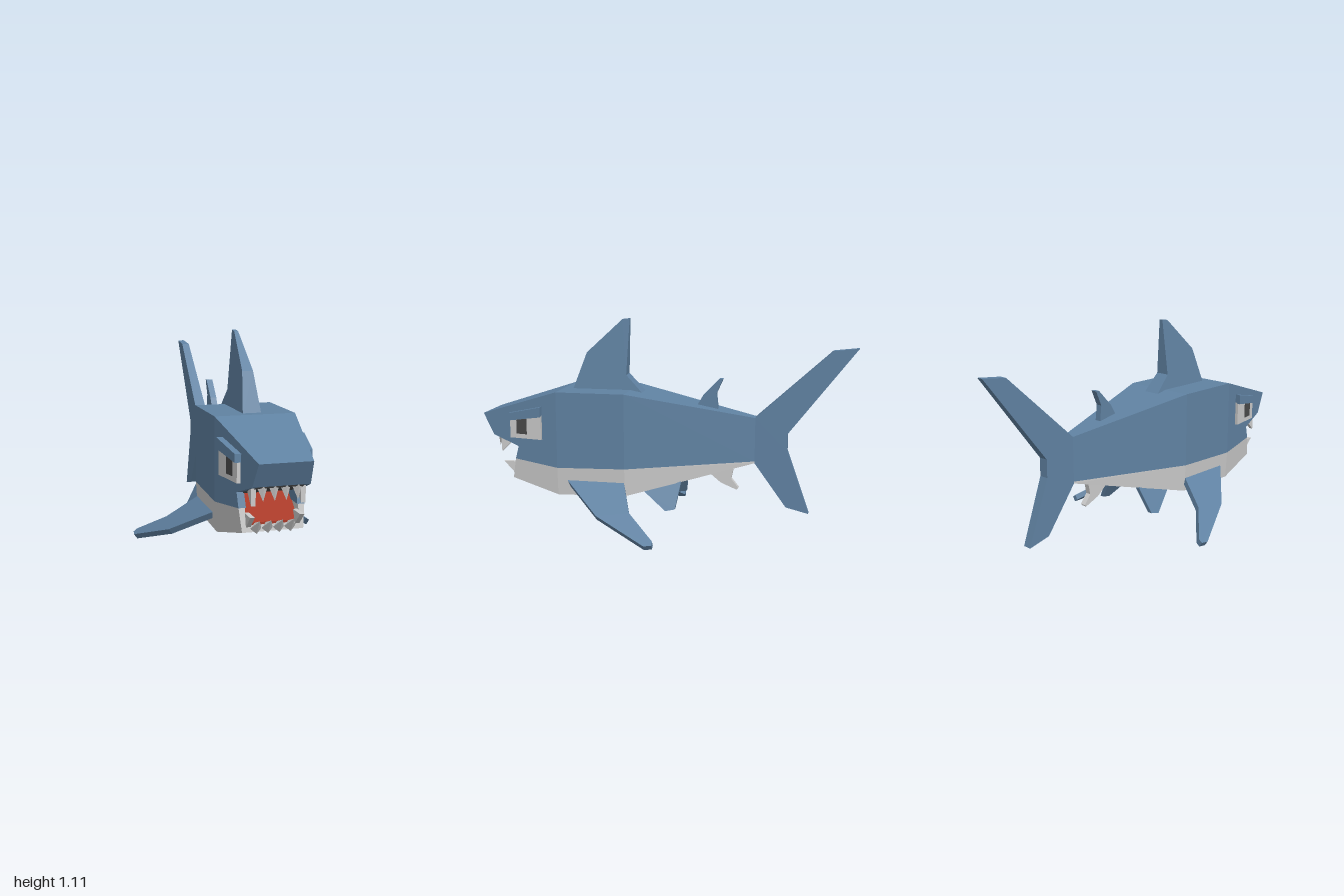
import * as THREE from 'three';

const material = (color) => new THREE.MeshStandardMaterial({ color, flatShading: true });
const blue = material(0x6082a2);
const grey = material(0xcccccc);
const red = material(0xa83a28);
const dark = material(0x4a4a4a);

// Closed solid between two copies of a polygon; a and b map (u, v) to 3D points.
function prism(points, a, b) {
  let contour = points.map(([u, v]) => new THREE.Vector2(u, v));
  if (THREE.ShapeUtils.area(contour) < 0) contour.reverse();
  const n = contour.length;
  const A = contour.map((p) => new THREE.Vector3(...a(p.x, p.y)));
  const B = contour.map((p) => new THREE.Vector3(...b(p.x, p.y)));
  const tris = [];
  for (const [i, j, k] of THREE.ShapeUtils.triangulateShape(contour, [])) {
    tris.push([B[i], B[j], B[k]], [A[k], A[j], A[i]]);
  }
  for (let i = 0; i < n; i++) {
    const j = (i + 1) % n;
    tris.push([A[i], A[j], B[j]], [A[i], B[j], B[i]]);
  }
  // Turn the faces outward whichever way the mapping runs
  const cross = new THREE.Vector3();
  const volume = tris.reduce((sum, [p, q, r]) => sum + p.dot(cross.crossVectors(q, r)), 0);
  if (volume < 0) tris.forEach((t) => t.reverse());
  const geometry = new THREE.BufferGeometry().setFromPoints(tris.flat());
  geometry.computeVertexNormals();
  return geometry;
}

// Solid from a (z, y) side profile, reaching from x = from(z, y) to x = to(z, y)
const slab = (profile, from, to) =>
  prism(profile, (z, y) => [from(z, y), y, z], (z, y) => [to(z, y), y, z]);

// Solid symmetric about x = 0
const centred = (profile, half) =>
  slab(profile, (z, y) => -half(z, y), half);

// Half width of the body along its length, slightly narrower under the belly
function bodyHalf(z, y) {
  let w = 0.2;
  if (z > 0.56) w -= (z - 0.56) * 0.17;
  if (z < 0.19) w -= (0.19 - z) * 0.254;
  return y < 0.3 && z > -0.4 ? w * 0.95 : w;
}

export function createModel() {
  const model = new THREE.Group();
  const add = (name, geometry, mat) => {
    const mesh = new THREE.Mesh(geometry, mat);
    mesh.name = name;
    model.add(mesh);
    return mesh;
  };
  const tooth = (name, base, tip, radius) => {
    const from = new THREE.Vector3(...base);
    const axis = new THREE.Vector3(...tip).sub(from);
    const mesh = add(name, new THREE.ConeGeometry(radius, axis.length(), 4), grey);
    mesh.position.copy(from).addScaledVector(axis, 0.5);
    mesh.quaternion.setFromUnitVectors(new THREE.Vector3(0, 1, 0), axis.normalize());
  };

  // Body and belly
  add('midBody', centred([[0.56, 0.74], [0.19, 0.74], [0.19, 0.34], [0.56, 0.33]], bodyHalf), blue);
  add('rearBody', centred([[0.19, 0.74], [-0.48, 0.61], [-0.48, 0.375], [0.19, 0.34]], bodyHalf), blue);
  add('midBelly', centred([[0.56, 0.33], [0.19, 0.34], [0.19, 0.19], [0.56, 0.18]], bodyHalf), grey);
  add('rearBelly', centred([[0.19, 0.34], [-0.48, 0.375], [-0.48, 0.365], [0.19, 0.19]], bodyHalf), grey);

  // Head and mouth
  const mouthHalf = (z) => bodyHalf(z, 1) - 0.03;
  add('snout', centred([[1, 0.6], [0.56, 0.74], [0.56, 0.4], [0.79, 0.43], [0.94, 0.485]], bodyHalf), blue);
  add('jawFloor', centred([[0.83, 0.25], [0.825, 0.28], [0.56, 0.22], [0.56, 0.18]], bodyHalf), grey);
  add('mouthRoof', centred([[0.935, 0.484], [0.79, 0.431], [0.57, 0.405], [0.57, 0.395], [0.79, 0.423], [0.93, 0.476]], mouthHalf), dark);
  add('mouthBack', centred([[0.575, 0.42], [0.575, 0.22], [0.555, 0.22], [0.555, 0.42]], mouthHalf), dark);
  add('tongue', centred([[0.8, 0.285], [0.58, 0.37], [0.57, 0.21], [0.8, 0.265]], mouthHalf), red);

  // Tail and the fins on the centre line
  add('tailFin', centred([[-0.48, 0.61], [-0.87, 0.97], [-1, 0.985], [-0.65, 0.53], [-0.65, 0.435],
    [-0.77, 0.1], [-0.65, 0.13], [-0.48, 0.365]], (z) => 0.03 + (z + 0.48) * 0.023), blue);
  add('dorsalFin', centred([[0.51, 0.735], [0.435, 0.935], [0.24, 1.115], [0.2, 1.12], [0.215, 0.82], [0.12, 0.72]],
    (z, y) => 0.046 - (y - 0.74) * 0.095), blue);
  add('rearDorsalFin', centred([[-0.165, 0.66], [-0.2, 0.72], [-0.285, 0.81], [-0.305, 0.81], [-0.27, 0.73], [-0.28, 0.64]],
    () => 0.017), blue);
  add('analFin', centred([[-0.22, 0.31], [-0.3, 0.245], [-0.385, 0.21], [-0.395, 0.22], [-0.355, 0.27], [-0.37, 0.345]],
    () => 0.015), grey);

  // Front teeth
  for (let i = 0; i < 4; i++) {
    const x = (i - 1.5) * 0.054;
    tooth('upperTooth', [x, 0.485, 0.912], [x, 0.415, 0.928], 0.027);
    tooth('lowerTooth', [x, 0.265, 0.825], [x, 0.315, 0.885], 0.027);
  }

  // Paired parts
  for (const [side, s] of [['left', 1], ['right', -1]]) {
    // Band lying on the side of the head between two offsets from its surface
    const onHead = (profile, inner, outer) =>
      slab(profile, (z) => s * (bodyHalf(z, 1) + inner), (z) => s * (bodyHalf(z, 1) + outer));

    add(side + 'Cheek', onHead([[0.79, 0.43], [0.56, 0.4], [0.56, 0.33], [0.81, 0.36]], -0.035, 0), blue);
    add(side + 'Jaw', slab([[0.81, 0.36], [0.56, 0.33], [0.56, 0.18], [0.83, 0.25]],
      (z) => s * mouthHalf(z), (z, y) => s * bodyHalf(z, y)), grey);

    // Eye with brow and pupil
    add(side + 'Eye', onHead([[0.83, 0.58], [0.645, 0.61], [0.645, 0.48], [0.83, 0.48]], -0.02, 0.018), grey);
    add(side + 'Brow', onHead([[0.835, 0.615], [0.645, 0.658], [0.645, 0.605], [0.835, 0.575]], -0.02, 0.03), blue);
    add(side + 'Pupil', onHead([[0.79, 0.58], [0.73, 0.59], [0.73, 0.505], [0.79, 0.505]], 0, 0.022), dark);

    // Teeth at the corners of the mouth
    const sideTooth = (profile) => slab(profile, () => s * 0.106, () => s * 0.128);
    add(side + 'UpperSideTooth', sideTooth([[0.9, 0.475], [0.9, 0.39], [0.845, 0.445]]), grey);
    add(side + 'LowerSideTooth', sideTooth([[0.89, 0.335], [0.8, 0.335], [0.83, 0.275]]), grey);

    // Pectoral fin: a (z, x) outline sloping down and outward
    const slope = (x) => 0.26 - (x - 0.2) * 0.76;
    add(side + 'PectoralFin', prism(
      [[0.51, 0.18], [0.5, 0.2], [0.3, 0.37], [0.02, 0.5], [-0.02, 0.495], [-0.02, 0.475], [0.13, 0.345], [0.2, 0.18]],
      (z, x) => [s * x, slope(x), z],
      (z, x) => [s * (x - 0.017), slope(x) - 0.025, z]), blue);

    // Pelvic fin
    const lean = (y) => 0.185 - (y - 0.13) * 0.55;
    add(side + 'PelvicFin', slab([[0.12, 0.24], [0.09, 0.21], [-0.03, 0.125], [-0.08, 0.135], [-0.1, 0.26], [-0.1, 0.3]],
      (z, y) => s * (lean(y) - 0.013), (z, y) => s * (lean(y) + 0.013)), blue);
  }
  return model;
}
